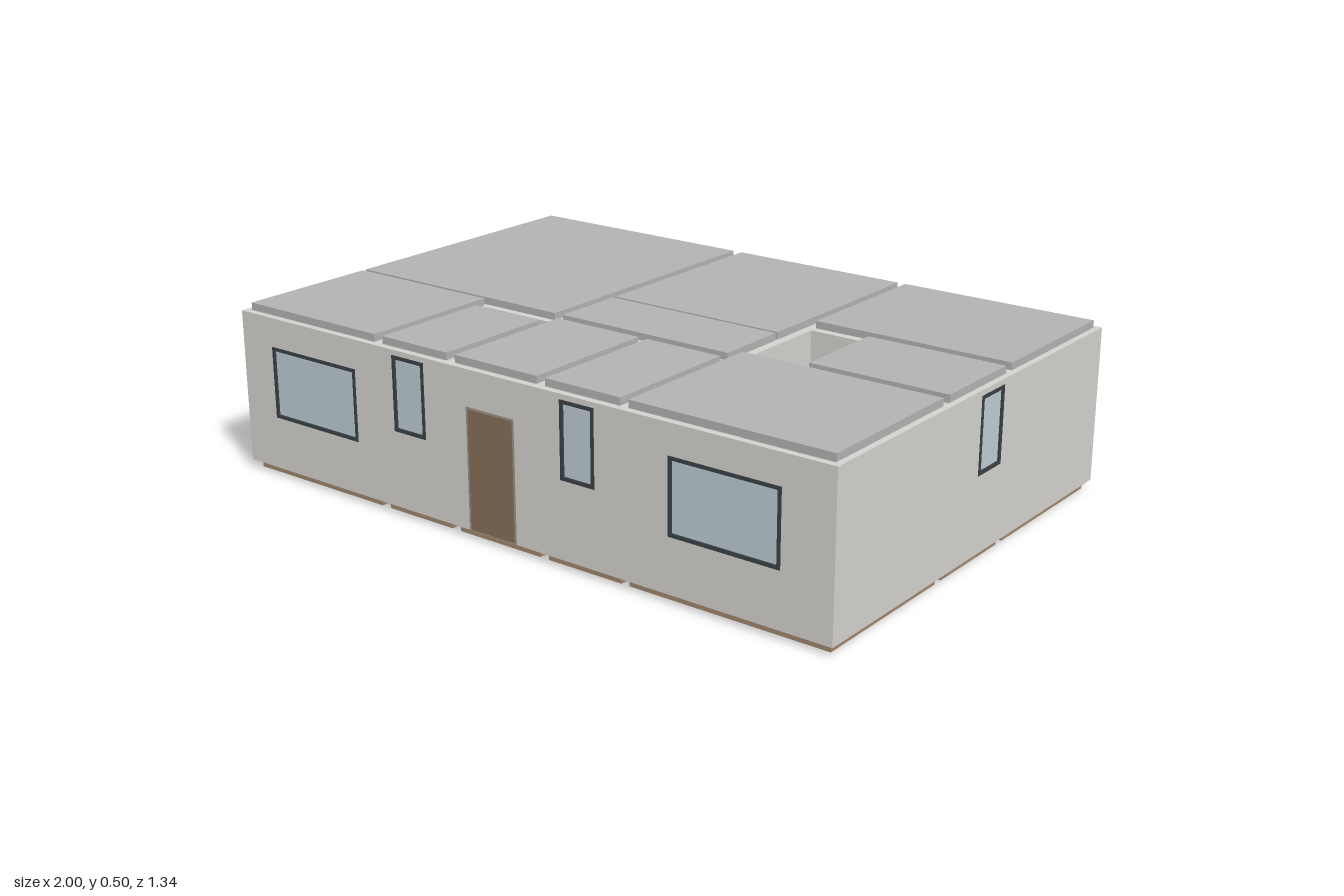
import * as THREE from 'three';

const WALL_Y0 = 0.025, WALL_Y1 = 0.475, ROOF_Y1 = 0.496;
const HALF_X = 1, HALF_Z = 0.667, THICK = 0.018;

const mat = (color) => new THREE.MeshStandardMaterial({ color });
const wallMat = mat(0xd4d2cd), roofMat = mat(0xb2b2b2), floorMat = mat(0xa0866c);
const frameMat = mat(0x3a4046), glassMat = mat(0xbccbd2), doorMat = mat(0x86705a), trimMat = mat(0x9a938a);

// Box given by its limits on each axis
function box(name, material, x0, x1, y0, y1, z0, z1) {
  const mesh = new THREE.Mesh(new THREE.BoxGeometry(x1 - x0, y1 - y0, z1 - z0), material);
  mesh.position.set((x0 + x1) / 2, (y0 + y1) / 2, (z0 + z1) / 2);
  mesh.name = name;
  return mesh;
}

function rect(target, x0, x1, y0, y1) {
  target.moveTo(x0, y0).lineTo(x1, y0).lineTo(x1, y1).lineTo(x0, y1).closePath();
  return target;
}

// Rectangular ring with its outer face at z = zFront
function ring(name, material, [x0, x1, y0, y1], width, depth, zFront) {
  const shape = rect(new THREE.Shape(), x0, x1, y0, y1);
  shape.holes.push(rect(new THREE.Path(), x0 + width, x1 - width, y0 + width, y1 - width));
  const mesh = new THREE.Mesh(new THREE.ExtrudeGeometry(shape, { depth, bevelEnabled: false }), material);
  mesh.position.z = zFront - depth;
  mesh.name = name;
  return mesh;
}

// Outer wall lying behind z = 0, with its openings filled by windows and doors
function outerWall(name, half, windows, doors = []) {
  const group = new THREE.Group();
  group.name = name;
  const shape = rect(new THREE.Shape(), -half, half, WALL_Y0, WALL_Y1);
  for (const [x0, x1, y0, y1] of [...windows, ...doors]) {
    shape.holes.push(rect(new THREE.Path(), x0, x1, Math.max(y0, WALL_Y0 + 0.001), y1));
  }
  const panel = new THREE.Mesh(new THREE.ExtrudeGeometry(shape, { depth: THICK, bevelEnabled: false }), wallMat);
  panel.position.z = -THICK;
  panel.name = 'wallPanel';
  group.add(panel);
  for (const w of windows) {
    const [x0, x1, y0, y1] = w;
    group.add(ring('windowFrame', frameMat, w, 0.01, THICK + 0.004, 0.002));
    group.add(box('windowGlass', glassMat, x0 + 0.008, x1 - 0.008, y0 + 0.008, y1 - 0.008, -0.012, -0.003));
  }
  for (const d of doors) {
    const [x0, x1, y0, y1] = d;
    group.add(ring('doorFrame', trimMat, d, 0.007, THICK + 0.002, 0.001));
    group.add(box('doorLeaf', doorMat, x0 + 0.006, x1 - 0.006, y0 + 0.002, y1 - 0.006, -0.014, 0.0015));
  }
  return group;
}

export function createModel() {
  const house = new THREE.Group();
  house.name = 'house';

  // Outer walls; openings are [x0, x1, y0, y1] as seen from outside
  const front = outerWall('frontWall', HALF_X,
    [[-0.88, -0.55, 0.18, 0.39], [-0.405, -0.29, 0.245, 0.46], [0.18, 0.29, 0.245, 0.46], [0.52, 0.85, 0.18, 0.39]],
    [[-0.14, 0.025, 0.026, 0.372]]);
  front.position.z = HALF_Z;

  const back = outerWall('backWall', HALF_X,
    [[-0.85, -0.52, 0.18, 0.39], [-0.29, 0.14, 0.035, 0.39], [0.435, 0.865, 0.035, 0.39]]);
  back.rotation.y = Math.PI;
  back.position.z = -HALF_Z;

  const sideHalf = HALF_Z - THICK;
  const left = outerWall('leftWall', sideHalf, [[-0.005, 0.11, 0.245, 0.46]]);
  left.rotation.y = Math.PI / 2;
  left.position.x = HALF_X;

  const right = outerWall('rightWall', sideHalf, [[-0.37, -0.09, 0.035, 0.39]]);
  right.rotation.y = -Math.PI / 2;
  right.position.x = -HALF_X;
  house.add(front, back, left, right);

  // Rooms [x0, x1, z0, z1]: each has its own floor and ceiling slab
  const rooms = [
    [-0.982, -0.235, -0.65, 0.2],
    [-0.205, 0.357, -0.65, -0.03],
    [-0.205, 0.357, -0.02, 0.2],
    [0.382, 0.982, -0.65, -0.18],
    [0.57, 0.982, -0.148, 0.138],
    [0.382, 0.982, 0.168, 0.645],
    [-0.982, -0.49, 0.212, 0.645],
    [-0.46, -0.225, 0.277, 0.645],
    [-0.195, 0.087, 0.232, 0.645],
    [0.115, 0.357, 0.232, 0.645],
  ];
  for (const [x0, x1, z0, z1] of rooms) {
    house.add(box('floorSlab', floorMat, x0, x1, 0, WALL_Y0, z0, z1));
    house.add(box('ceilingSlab', roofMat, x0, x1, WALL_Y1, ROOF_Y1, z0, z1));
  }

  // Partitions between the rooms and around the two open shafts
  const partitions = [
    [-0.235, -0.205, -0.65, 0.2],
    [-0.982, -0.49, 0.2, 0.212],
    [-0.49, -0.215, 0.2, 0.222],
    [-0.215, 0.357, 0.2, 0.232],
    [-0.205, 0.357, -0.03, -0.02],
    [0.357, 0.382, -0.65, 0.65],
    [0.382, 0.982, -0.18, -0.155],
    [0.382, 0.982, 0.145, 0.168],
    [0.55, 0.572, -0.155, 0.145],
    [-0.49, -0.468, 0.222, 0.65],
    [-0.468, -0.215, 0.255, 0.277],
    [-0.215, -0.195, 0.232, 0.65],
    [-0.225, -0.215, 0.277, 0.65],
    [-0.468, -0.46, 0.277, 0.65],
    [0.087, 0.115, 0.232, 0.65],
  ];
  for (const [x0, x1, z0, z1] of partitions) {
    house.add(box('partitionWall', wallMat, x0, x1, WALL_Y0, WALL_Y1, z0, z1));
  }
  return house;
}
